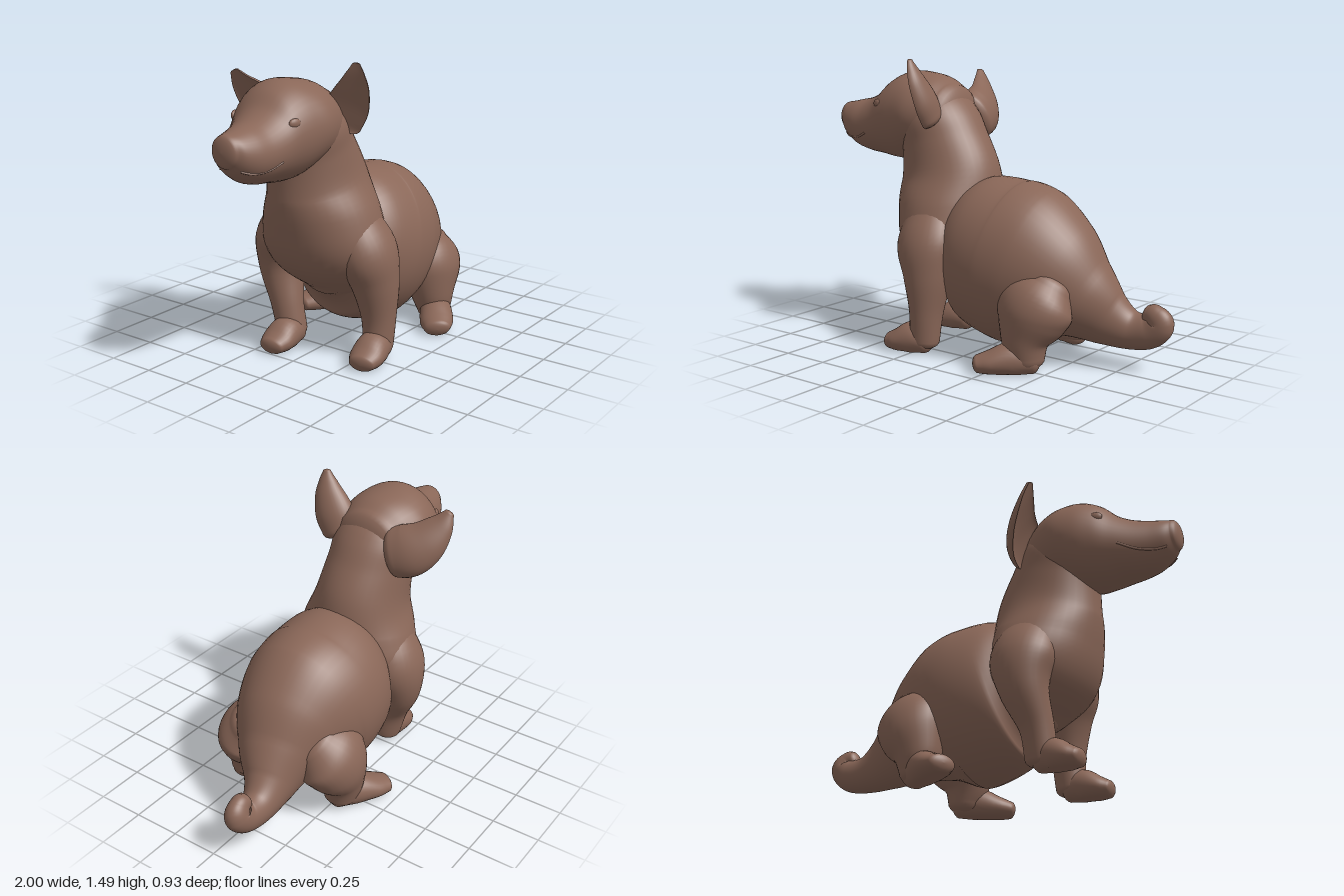
import * as THREE from 'three';

const fur = new THREE.MeshStandardMaterial({ color: 0x8a6758 });
fur.name = 'brown fur';

// Smooth loft with rounded ends. Sections: [x, y, z, half-width along side, half-depth].
// axis keeps all sections parallel; cup scales the front half, hollowing it when negative.
function loft(name, sections, { side = [0, 0, 1], axis, sides = 32, steps = 6, cup = 1, dome = 0.6 } = {}) {
  const path = new THREE.CatmullRomCurve3(sections.map(s => new THREE.Vector3(s[0], s[1], s[2])), false, 'catmullrom');
  const size = new THREE.CatmullRomCurve3(sections.map(s => new THREE.Vector3(s[3], s[4], 0)), false, 'catmullrom');
  const hint = new THREE.Vector3(...side);
  const n = (sections.length - 1) * steps;
  const rings = [];
  const addRing = (t, k, end) => {
    const tan = axis ? new THREE.Vector3(...axis) : path.getTangent(t);
    const r = size.getPoint(t), c = path.getPoint(t);
    c.addScaledVector(tan, end * dome * Math.min(r.x, r.y) * Math.sqrt(1 - k * k));
    const s = hint.clone().addScaledVector(tan, -hint.dot(tan)).normalize();
    rings.push({ c, s, n: tan.clone().cross(s), a: r.x * k, b: r.y * k });
  };
  const caps = 6;
  for (let i = 0; i < caps; i++) addRing(0, Math.sin(i / caps * Math.PI / 2), -1);
  for (let i = 0; i <= n; i++) addRing(i / n, 1, 0);
  for (let i = caps - 1; i >= 0; i--) addRing(1, Math.sin(i / caps * Math.PI / 2), 1);

  const pos = [], idx = [];
  rings.forEach((r, i) => {
    for (let j = 0; j < sides; j++) {
      const a = j / sides * Math.PI * 2, sn = Math.sin(a);
      const p = r.c.clone().addScaledVector(r.s, Math.cos(a) * r.a)
        .addScaledVector(r.n, sn * r.b * (sn < 0 ? cup : 1));
      pos.push(p.x, Math.max(p.y, 0.004), p.z); // soles are flat on the ground
      if (i === rings.length - 1) continue;
      const q = i * sides + j, w = i * sides + (j + 1) % sides;
      idx.push(q, w, w + sides, q, w + sides, q + sides);
    }
  });
  const g = new THREE.BufferGeometry();
  g.setAttribute('position', new THREE.Float32BufferAttribute(pos, 3));
  g.setIndex(idx);
  g.computeVertexNormals();
  const mesh = new THREE.Mesh(g, fur);
  mesh.name = name;
  return mesh;
}

// Paw from heel to toe, sloping down from the ankle
function paw(name, [hx, hz], [tx, tz]) {
  const at = (k, y, w, h) => [hx + (tx - hx) * k, y, hz + (tz - hz) * k, w, h];
  return loft(name, [at(0, 0.065, 0.07, 0.065), at(0.35, 0.075, 0.085, 0.085), at(0.75, 0.055, 0.088, 0.062), at(1, 0.045, 0.07, 0.045)], { steps: 4 });
}

export function createModel() {
  const dog = new THREE.Group();
  dog.name = 'sittingPuppy';

  // Rump tapering into the curled tail
  dog.add(loft('rumpAndTail', [
    [-0.17, 0.55, 0, 0.25, 0.28], [-0.05, 0.53, 0, 0.33, 0.385], [0.1, 0.485, -0.01, 0.36, 0.42],
    [0.25, 0.455, -0.01, 0.345, 0.415], [0.39, 0.405, -0.02, 0.295, 0.335], [0.53, 0.325, -0.045, 0.21, 0.225],
    [0.66, 0.24, -0.08, 0.125, 0.145], [0.77, 0.198, -0.1, 0.085, 0.1], [0.87, 0.205, -0.105, 0.07, 0.085],
    [0.925, 0.25, -0.105, 0.06, 0.075], [0.9, 0.285, -0.1, 0.05, 0.062], [0.868, 0.295, -0.1, 0.043, 0.048],
  ], { sides: 48, steps: 8 }));

  // Chest rising through the neck into the back of the skull
  dog.add(loft('chestAndNeck', [
    [-0.09, 0.3, 0, 0.14, 0.09], [-0.16, 0.42, 0, 0.26, 0.17], [-0.23, 0.57, 0, 0.335, 0.255],
    [-0.26, 0.73, 0, 0.305, 0.275], [-0.28, 0.89, -0.01, 0.24, 0.275], [-0.325, 1.05, -0.02, 0.222, 0.235],
    [-0.365, 1.16, -0.025, 0.222, 0.205], [-0.41, 1.26, -0.03, 0.19, 0.155],
  ], { sides: 40 }));

  // Head with sloping brow and blunt snout
  dog.add(loft('head', [
    [-0.28, 1.185, -0.03, 0.19, 0.175], [-0.35, 1.192, -0.035, 0.225, 0.205], [-0.44, 1.196, -0.04, 0.25, 0.219],
    [-0.54, 1.183, -0.04, 0.24, 0.237], [-0.63, 1.166, -0.03, 0.215, 0.218], [-0.71, 1.138, -0.015, 0.185, 0.175],
    [-0.79, 1.124, 0, 0.157, 0.149], [-0.87, 1.128, 0.015, 0.13, 0.128], [-0.935, 1.143, 0.02, 0.102, 0.1],
    [-0.97, 1.16, 0.02, 0.075, 0.078],
  ], { sides: 40, axis: [-1, 0, 0], dome: 0.4 }));

  // Slightly raised eyelids and a fine lip line on both cheeks
  for (const s of [1, -1]) {
    const eye = new THREE.Mesh(new THREE.SphereGeometry(1, 16, 12), fur);
    eye.name = s > 0 ? 'leftEyelid' : 'rightEyelid';
    eye.scale.set(0.032, 0.024, 0.014);
    eye.rotation.y = s * -0.3;
    eye.position.set(-0.65, 1.25, -0.027 + s * 0.18);
    dog.add(eye);
    const lip = new THREE.CatmullRomCurve3([
      [-0.945, 1.075, 0.02 + s * 0.064], [-0.9, 1.06, 0.02 + s * 0.09],
      [-0.82, 1.06, 0.005 + s * 0.128], [-0.74, 1.09, -0.01 + s * 0.168],
    ].map(p => new THREE.Vector3(...p)));
    const lipMesh = new THREE.Mesh(new THREE.TubeGeometry(lip, 16, 0.006, 6), fur);
    lipMesh.name = s > 0 ? 'leftLip' : 'rightLip';
    dog.add(lipMesh);
  }

  // Hollow ears, one upright and one leaning out
  dog.add(loft('leftEar', [
    [-0.3, 1.2, 0.155, 0.1, 0.075], [-0.305, 1.28, 0.195, 0.105, 0.075], [-0.315, 1.365, 0.233, 0.082, 0.06],
    [-0.325, 1.435, 0.253, 0.05, 0.04], [-0.33, 1.485, 0.262, 0.022, 0.02],
  ], { side: [0.3, 0, 0.95], cup: -0.15 }));
  dog.add(loft('rightEar', [
    [-0.27, 1.18, -0.2, 0.13, 0.085], [-0.29, 1.205, -0.275, 0.135, 0.085], [-0.325, 1.255, -0.34, 0.115, 0.07],
    [-0.37, 1.33, -0.392, 0.075, 0.045], [-0.405, 1.4, -0.422, 0.028, 0.022],
  ], { side: [-0.3, 1, 0.5], cup: -0.2 }));

  // Front legs
  dog.add(loft('leftFrontLeg', [
    [-0.25, 0.74, 0.17, 0.1, 0.13], [-0.225, 0.56, 0.25, 0.14, 0.17], [-0.2, 0.4, 0.285, 0.122, 0.13],
    [-0.195, 0.22, 0.305, 0.09, 0.088], [-0.205, 0.07, 0.31, 0.075, 0.08],
  ]));
  dog.add(paw('leftFrontPaw', [-0.195, 0.31], [-0.395, 0.345]));
  dog.add(loft('rightFrontLeg', [
    [-0.27, 0.74, -0.17, 0.1, 0.13], [-0.25, 0.56, -0.24, 0.14, 0.17], [-0.26, 0.4, -0.255, 0.122, 0.125],
    [-0.295, 0.22, -0.2, 0.088, 0.085], [-0.3, 0.07, -0.165, 0.078, 0.08],
  ]));
  dog.add(paw('rightFrontPaw', [-0.29, -0.16], [-0.485, -0.15]));

  // Hind legs with toes turned outwards
  dog.add(loft('leftHindLeg', [
    [0.45, 0.42, 0.16, 0.12, 0.14], [0.425, 0.345, 0.205, 0.155, 0.195], [0.405, 0.26, 0.23, 0.152, 0.18],
    [0.39, 0.16, 0.255, 0.115, 0.125], [0.4, 0.07, 0.26, 0.09, 0.09],
  ]));
  dog.add(paw('leftHindPaw', [0.43, 0.25], [0.21, 0.4]));
  dog.add(loft('rightHindLeg', [
    [0.42, 0.42, -0.2, 0.12, 0.14], [0.38, 0.345, -0.25, 0.155, 0.195], [0.35, 0.26, -0.28, 0.15, 0.175],
    [0.32, 0.16, -0.29, 0.115, 0.125], [0.32, 0.07, -0.285, 0.09, 0.09],
  ]));
  dog.add(paw('rightHindPaw', [0.35, -0.27], [0.1, -0.405]));

  return dog;
}
